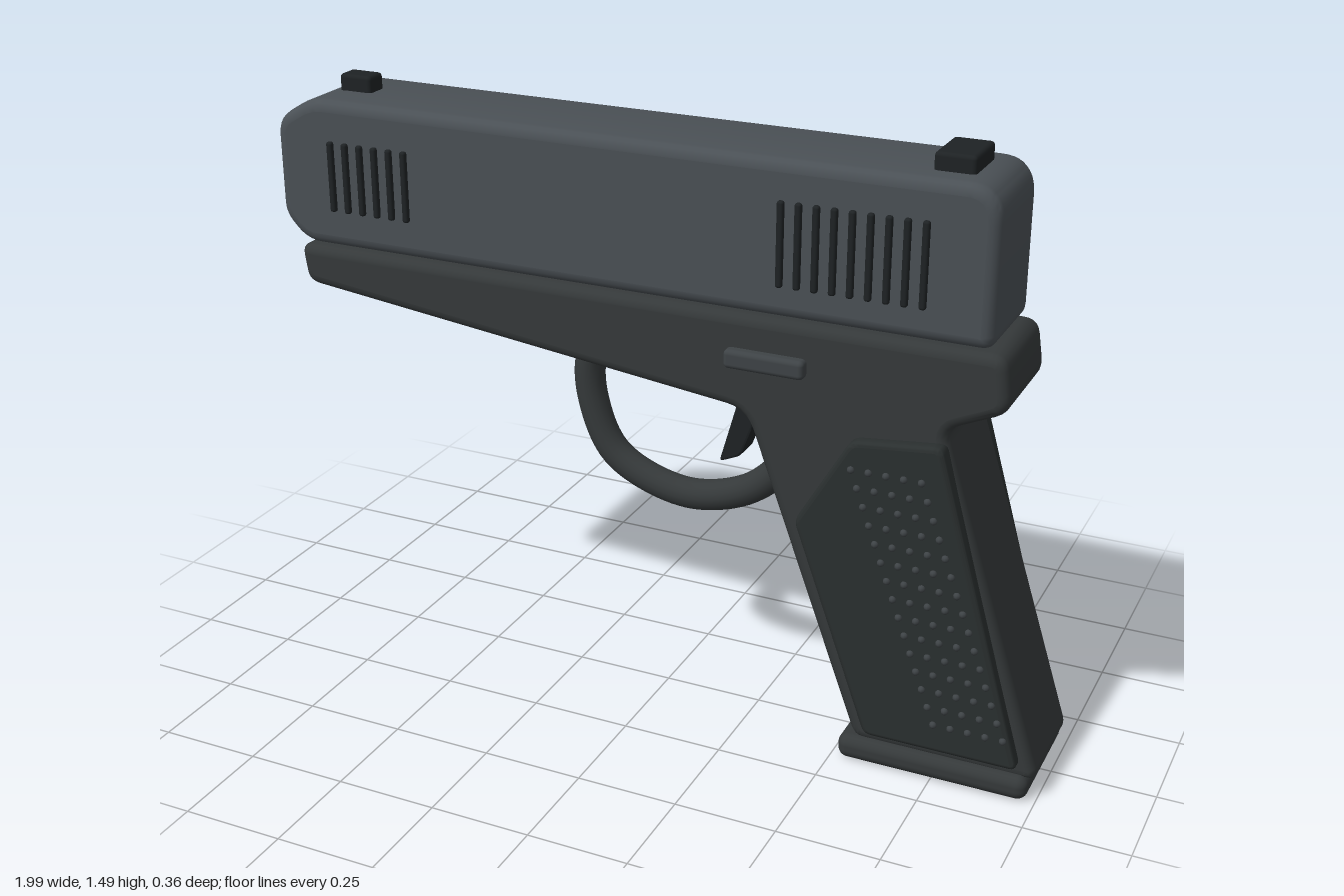
import * as THREE from 'three';
import { toCreasedNormals } from 'three/addons/utils/BufferGeometryUtils.js';
import { RoundedBoxGeometry } from 'three/addons/geometries/RoundedBoxGeometry.js';

const mat = (color) => new THREE.MeshStandardMaterial({ color });

// Closed outline from [x, y, cornerRadius] points, corners rounded
function roundedOutline(points) {
  const shape = new THREE.Shape();
  const n = points.length;
  const toward = (a, b, r) => {
    const from = new THREE.Vector2(a[0], a[1]);
    const dir = new THREE.Vector2(b[0], b[1]).sub(from);
    return from.addScaledVector(dir.clone().normalize(), Math.min(r, dir.length() * 0.45));
  };
  points.forEach((p, i) => {
    const start = toward(p, points[(i + n - 1) % n], p[2]);
    const end = toward(p, points[(i + 1) % n], p[2]);
    if (i === 0) shape.moveTo(start.x, start.y);
    else shape.lineTo(start.x, start.y);
    shape.quadraticCurveTo(p[0], p[1], end.x, end.y);
  });
  shape.closePath();
  return shape;
}

// Bevelled slab centred on z = 0; the outline is its true silhouette
function slab(points, width, bevel) {
  const geometry = toCreasedNormals(new THREE.ExtrudeGeometry(roundedOutline(points), {
    depth: width - 2 * bevel,
    bevelThickness: bevel,
    bevelSize: bevel,
    bevelOffset: -bevel,
    bevelSegments: 4,
    curveSegments: 5,
  }), 0.7);
  geometry.translate(0, 0, -width / 2 + bevel);
  // Keep the side faces perfectly flat
  const { position, normal } = geometry.attributes;
  for (const g of geometry.groups.filter((g) => g.materialIndex === 0)) {
    for (let i = g.start; i < g.start + g.count; i++) {
      normal.setXYZ(i, 0, 0, Math.sign(position.getZ(i)));
    }
  }
  return geometry;
}

export function createModel() {
  const model = new THREE.Group();
  const slideMat = mat(0x4a5055);
  const frameMat = mat(0x35393a);
  const panelMat = mat(0x2a2f2f);
  const darkMat = mat(0x1e2224);
  const leverMat = mat(0x3e4346);

  const add = (name, geometry, material, x = 0, y = 0, z = 0, parent = model) => {
    const mesh = new THREE.Mesh(geometry, material);
    mesh.name = name;
    mesh.position.set(x, y, z);
    parent.add(mesh);
    return mesh;
  };
  const addGroup = (name) => {
    const group = new THREE.Group();
    group.name = name;
    model.add(group);
    return group;
  };

  // Upper slide with chamfered ends
  add('slide', slab([
    [-0.99, 1.15, 0.03], [-0.93, 1.085, 0.04], [0.825, 1.085, 0.03],
    [0.825, 1.405, 0.04], [0.785, 1.45, 0.04], [-0.89, 1.45, 0.04], [-0.99, 1.39, 0.04],
  ], 0.276, 0.028), slideMat);
  add('slideRail', new THREE.BoxGeometry(1.68, 0.05, 0.2), frameMat, -0.04, 1.08, 0);

  // Lower frame and raked grip in one piece
  add('frame', slab([
    [-0.945, 1.08, 0.03], [-0.93, 0.98, 0.03], [0.255, 0.847, 0.05], [0.55, 0.05, 0.03],
    [1.0, 0.05, 0.03], [0.73, 0.885, 0.035], [0.875, 0.95, 0.04], [0.855, 1.08, 0.035],
  ], 0.284, 0.025), frameMat);

  // Magazine base plate
  add('basePlate', new RoundedBoxGeometry(0.465, 0.062, 0.325, 4, 0.026), frameMat, 0.748, 0.031, 0);

  // Muzzle plug
  add('muzzle', new THREE.CylinderGeometry(0.065, 0.065, 0.05, 32).rotateZ(Math.PI / 2),
    darkMat, -0.975, 1.255, 0);

  // Sights
  add('frontSight', new RoundedBoxGeometry(0.088, 0.06, 0.06, 2, 0.01), darkMat, -0.825, 1.46, 0);
  add('rearSight', new RoundedBoxGeometry(0.095, 0.06, 0.14, 2, 0.01), darkMat, 0.698, 1.46, 0);

  // Trigger guard
  const guardPath = new THREE.CatmullRomCurve3([
    [-0.16, 0.92], [-0.205, 0.86], [-0.205, 0.75], [-0.14, 0.61], [0.04, 0.54],
    [0.2, 0.575], [0.3, 0.66], [0.36, 0.78],
  ].map(([x, y]) => new THREE.Vector3(x, y, 0)));
  add('triggerGuard', new THREE.TubeGeometry(guardPath, 60, 0.038, 16), frameMat);

  // Trigger blade
  add('trigger', slab([
    [0.2, 0.84, 0.01], [0.148, 0.655, 0.012], [0.205, 0.68, 0.015],
    [0.238, 0.77, 0.02], [0.235, 0.84, 0.01],
  ], 0.07, 0.006), darkMat);

  // Slide serrations, grip panels, grip studs and levers on both sides
  const serrations = addGroup('serrations');
  const studs = addGroup('gripStuds');
  const rearBar = new RoundedBoxGeometry(0.016, 0.2, 0.03, 2, 0.006);
  const frontBar = new RoundedBoxGeometry(0.016, 0.175, 0.03, 2, 0.006);
  const stud = new THREE.SphereGeometry(0.009, 8, 6);
  const panel = slab([
    [0.525, 0.835, 0.02], [0.395, 0.61, 0.02], [0.585, 0.088, 0.02],
    [0.958, 0.088, 0.02], [0.735, 0.858, 0.02],
  ], 0.06, 0.012);
  for (const side of [1, -1]) {
    for (let i = 0; i < 9; i++) {
      add('rearSerration', rearBar, darkMat, 0.334 + i * 0.0415, 1.26, side * 0.134, serrations);
    }
    for (let i = 0; i < 6; i++) {
      add('frontSerration', frontBar, darkMat, -0.832 + i * 0.041, 1.265, side * 0.134, serrations);
    }
    add('gripPanel', panel, panelMat, 0, 0, side * 0.143);
    for (let row = 0; row < 15; row++) {
      for (let col = 0; col < 5; col++) {
        add('stud', stud, leverMat, 0.53 + row * 0.0161 + col * 0.0415,
          0.768 - row * 0.0433, side * 0.173, studs);
      }
    }
    add('lever', new RoundedBoxGeometry(0.195, 0.046, 0.05, 3, 0.012), leverMat,
      0.308, 0.978, side * 0.142);
  }

  return model;
}
